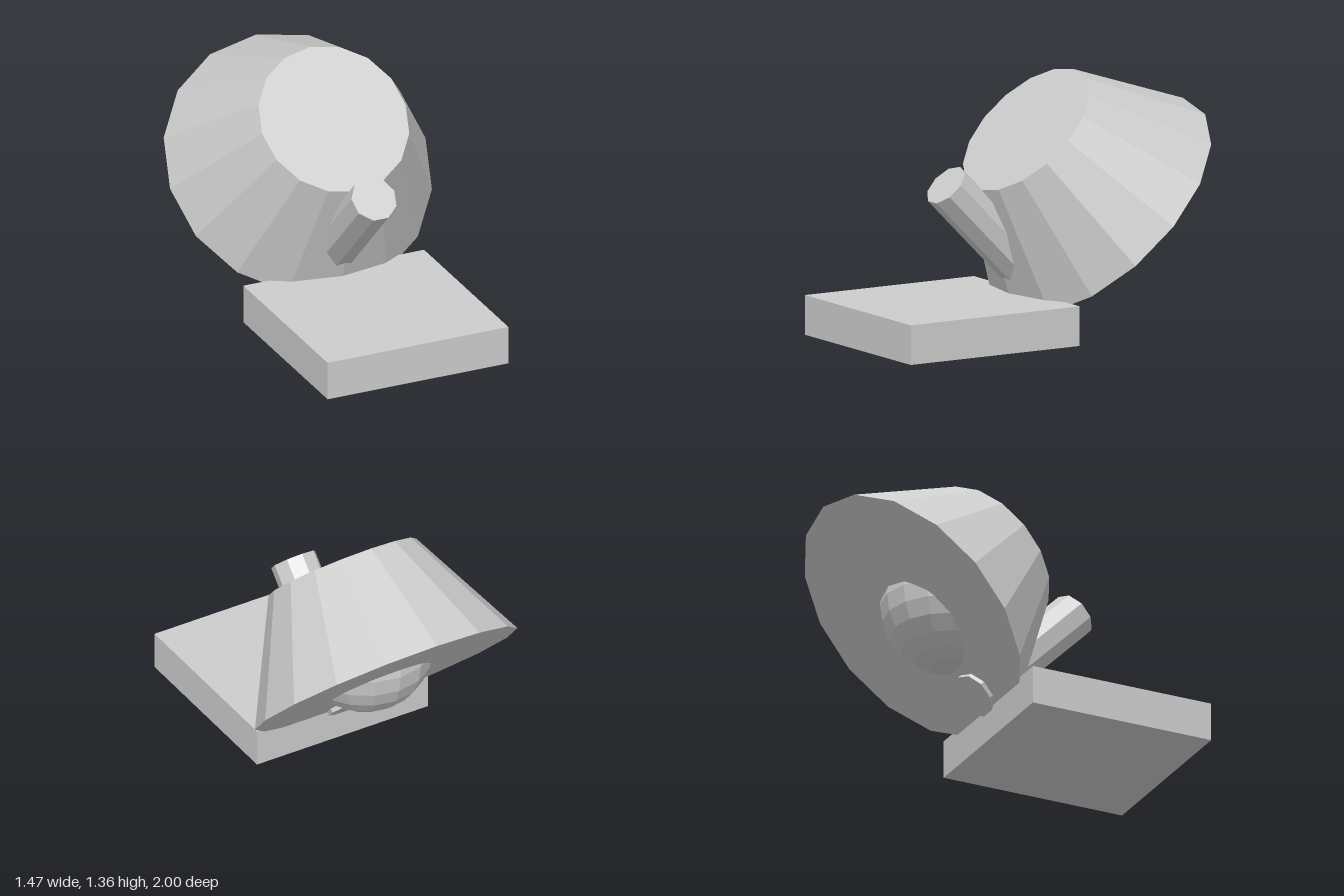
import * as THREE from 'three';

export function createModel() {
  const group = new THREE.Group();
  const grey = new THREE.MeshStandardMaterial({ color: 0xcccccc });
  grey.flatShading = true;

  const add = (name, geometry, x, y, z, tilt = 0) => {
    const mesh = new THREE.Mesh(geometry, grey);
    mesh.name = name;
    mesh.position.set(x, y, z);
    mesh.rotation.x = tilt;
    group.add(mesh);
    return mesh;
  };
  const TILT = Math.PI / 4;

  // Flat slab the lamp stands on
  add('base', new THREE.BoxGeometry(1.04, 0.21, 1.04), 0, 0.105, 0.48);

  // Tapered shade leaning back, wide end facing down and behind
  add('shade', new THREE.CylinderGeometry(0.413, 0.735, 0.63, 16), 0, 0.845, -0.26, TILT);

  // Ball poking out of the wide end
  add('bulb', new THREE.SphereGeometry(0.36, 16, 12), 0, 0.72, -0.27);

  // Rod running through the lower edge of the shade
  add('rod', new THREE.CylinderGeometry(0.125, 0.125, 0.83, 9, 1, false, Math.PI),
    0, 0.5275, 0.165, TILT);

  return group;
}
